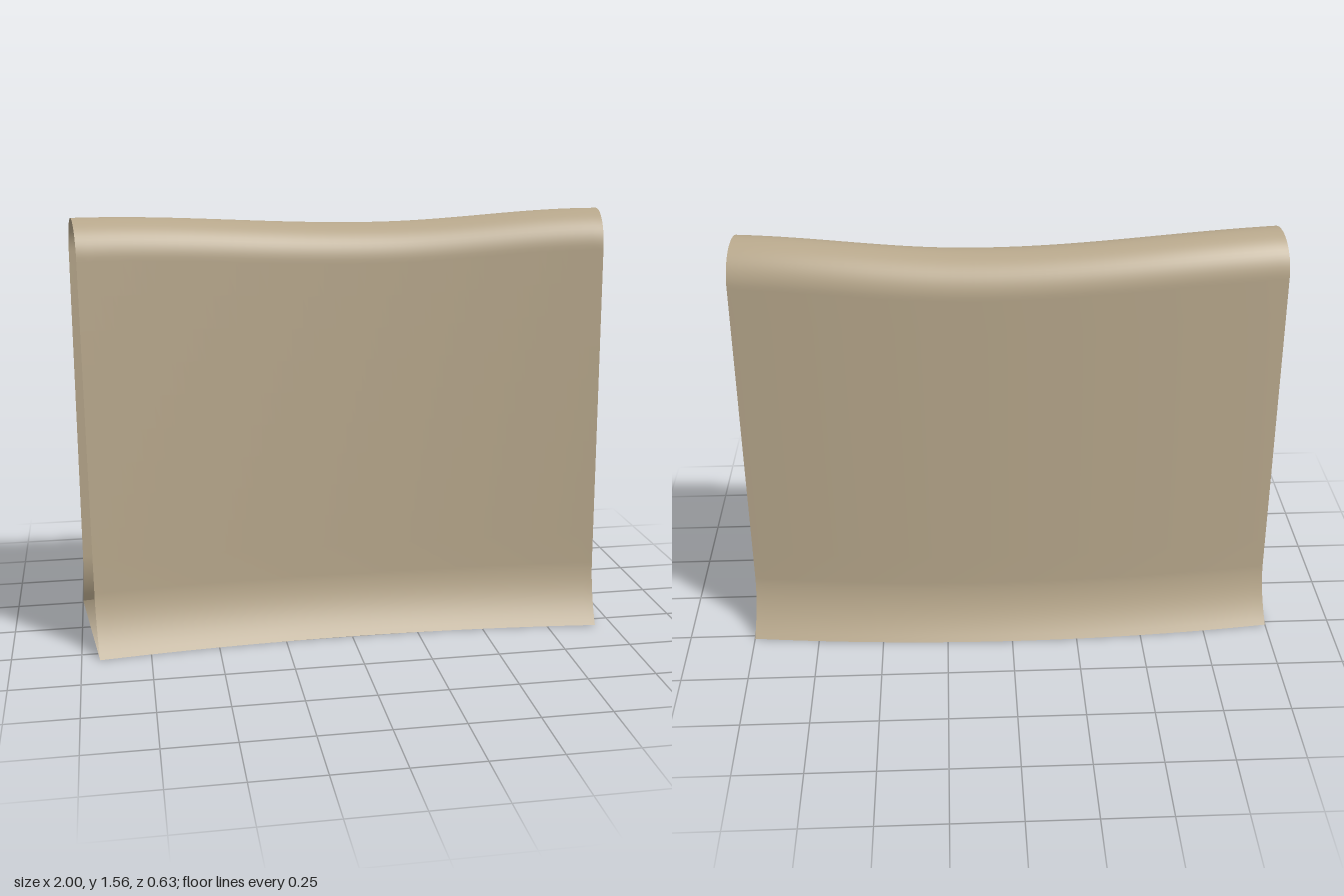
import * as THREE from 'three';

const COLUMNS = 48;        // steps along the bend
const HALF_ANGLE = 0.1139; // half the bend, in radians
const RADIUS = 8.51;       // bend radius of the middle line
const CENTRE_Z = 8.475;    // bend axis lies in front

// Half of the cross-section from the foot to the crown: x = half width, y = height
function halfProfile() {
  const path = new THREE.CurvePath();
  const foot = new THREE.QuadraticBezierCurve(
    new THREE.Vector2(0.29, 0), new THREE.Vector2(0.205, 0.1), new THREE.Vector2(0.195, 0.22));
  const points = foot.getPoints(10);
  for (let i = 1; i < 10; i++) {
    const t = i / 10;
    points.push(new THREE.Vector2(0.195 - 0.06 * t, 0.22 + 1.2 * t));
  }
  for (let i = 0; i <= 14; i++) {
    const a = (i / 14) * Math.PI / 2;
    points.push(new THREE.Vector2(0.135 * Math.cos(a), 1.42 + 0.137 * Math.sin(a)));
  }
  return points;
}

// The crown sags gently, lowest a little to the left of the middle
function sag(x) {
  const w = (x - 0.12) / (x < 0.12 ? 1.09 : 0.85);
  return 0.042 * (0.5 + 0.5 * Math.cos(Math.PI * THREE.MathUtils.clamp(w, -1, 1)));
}

// Bent sleeve: cross-section swept along an arc, ends open, floor closing the loop
function sleeveGeometry() {
  const half = halfProfile();
  const mirrored = half.slice(0, -1).reverse().map(p => new THREE.Vector2(-p.x, p.y));
  const profile = [...half, ...mirrored]; // front foot, over the crown, back foot
  const rows = profile.length;

  const positions = [];
  for (let i = 0; i <= COLUMNS; i++) {
    const angle = HALF_ANGLE * (2 * i / COLUMNS - 1);
    const scaleY = 1 - sag(RADIUS * Math.sin(angle)) / 1.557;
    for (const p of profile) {
      const r = RADIUS - p.x;
      positions.push(r * Math.sin(angle), p.y * scaleY, CENTRE_Z - r * Math.cos(angle));
    }
  }

  const walls = [], floor = [];
  for (let i = 0; i < COLUMNS; i++) {
    for (let j = 0; j < rows; j++) {
      const next = (j + 1) % rows;
      const a = i * rows + j, b = a + rows;
      const c = i * rows + next, d = c + rows;
      (next ? walls : floor).push(a, b, c, b, d, c);
    }
  }

  const geometry = new THREE.BufferGeometry();
  geometry.setAttribute('position', new THREE.Float32BufferAttribute(positions, 3));
  // The floor shares the smooth normals of the flared feet
  geometry.setIndex(walls);
  geometry.computeVertexNormals();
  geometry.setIndex([...walls, ...floor]);
  return geometry;
}

export function createModel() {
  const model = new THREE.Group();
  model.name = 'bentSleeve';
  const material = new THREE.MeshStandardMaterial({ color: 0xb8a88c, side: THREE.DoubleSide });
  const sleeve = new THREE.Mesh(sleeveGeometry(), material);
  sleeve.name = 'sleeve';
  model.add(sleeve);
  return model;
}
